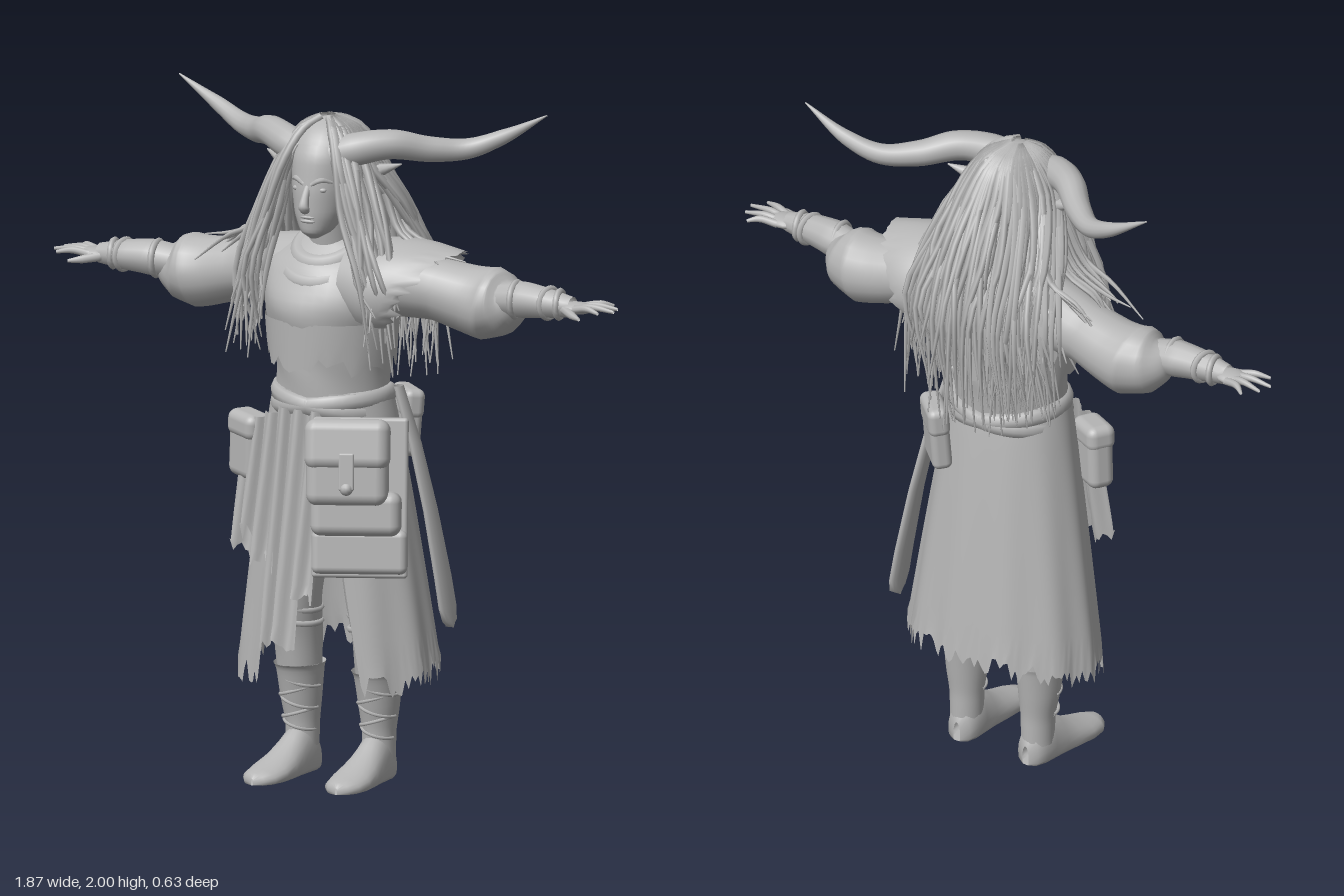
import * as THREE from 'three';
import { mergeGeometries } from 'three/addons/utils/BufferGeometryUtils.js';
import { RoundedBoxGeometry } from 'three/addons/geometries/RoundedBoxGeometry.js';

const V = (x, y, z) => new THREE.Vector3(x, y, z);
const { sin, cos, PI, max, abs } = Math;
let seed = 7;
const rnd = (a = 0, b = 1) => {
  seed = (seed * 16807) % 2147483647;
  return a + (b - a) * seed / 2147483647;
};
// linear lookup in a list of [key, v1, v2...] rows
function lerpRows(rows, k) {
  let i = 0;
  while (i < rows.length - 2 && k > rows[i + 1][0]) i++;
  const a = rows[i], b = rows[i + 1], t = (k - a[0]) / (b[0] - a[0]);
  return a.map((v, j) => v + (b[j] - v) * t);
}

// surface through rows of points; closed joins the last column to the first
function surface(rows, closed = true) {
  const n = rows[0].length, index = [];
  for (let i = 0; i < rows.length - 1; i++) {
    for (let j = 0; j < (closed ? n : n - 1); j++) {
      const a = i * n + j, b = i * n + (j + 1) % n;
      index.push(a, b, a + n, b, b + n, a + n);
    }
  }
  const g = new THREE.BufferGeometry().setFromPoints(rows.flat());
  g.setIndex(index);
  g.computeVertexNormals();
  return g;
}

// round tube with changing radius along a smooth path
function sweep(points, radii, segs = 20, sides = 12) {
  const c = new THREE.CatmullRomCurve3(points.map(p => V(...p)));
  const f = c.computeFrenetFrames(segs);
  const keys = radii.map((r, i) => [i / (radii.length - 1), r]);
  const rows = [];
  for (let i = 0; i <= segs; i++) {
    const t = i / segs, p = c.getPoint(t), r = lerpRows(keys, t)[1];
    rows.push(Array.from({ length: sides }, (_, j) => {
      const a = j / sides * 2 * PI;
      return p.clone().addScaledVector(f.normals[i], r * cos(a)).addScaledVector(f.binormals[i], r * sin(a));
    }));
  }
  return surface(rows);
}

// upright body through ellipses [y, centreX, centreZ, radiusX, radiusZ], bottom to top
function loft(sections, sides = 28, wave = 0) {
  const c = new THREE.CatmullRomCurve3(sections.map(s => V(s[0], s[1], s[2])));
  const d = new THREE.CatmullRomCurve3(sections.map(s => V(s[3], s[4], 0)));
  const n = sections.length * 4, rows = [];
  for (let i = 0; i <= n; i++) {
    const p = c.getPoint(i / n), r = d.getPoint(i / n);
    rows.push(Array.from({ length: sides }, (_, j) => {
      const a = j / sides * 2 * PI, w = 1 + wave * sin(5 * a + i * 0.8);
      return V(p.y + r.x * w * cos(a), p.x, p.z - r.y * w * sin(a));
    }));
  }
  return surface(rows);
}

export function createModel() {
  const root = new THREE.Group();
  const grey = new THREE.MeshStandardMaterial({ color: 0xb6b6b6, side: THREE.DoubleSide });
  grey.name = 'plain grey';
  const add = (name, geo, pos = [0, 0, 0], rot = [0, 0, 0], parent = root) => {
    const m = new THREE.Mesh(geo, grey);
    m.name = name;
    m.position.set(...pos);
    m.rotation.set(...rot);
    parent.add(m);
    return m;
  };

  // torso, sash, scarf and neck
  add('tunic', loft([[1.05, 0, 0.02, 0.175, 0.145], [1.2, 0, 0.015, 0.168, 0.16], [1.3, 0, 0.015, 0.178, 0.17],
    [1.42, 0, 0.03, 0.2, 0.18], [1.53, 0, 0.01, 0.2, 0.15], [1.6, 0, 0, 0.12, 0.09], [1.63, 0, 0, 0.05, 0.05]], 36, 0.012));
  add('vestHem', surface([1.38, 1.31, 1.25].map((y, i) => Array.from({ length: 48 }, (_, j) => {
    const a = j / 48 * 2 * PI;
    return V((0.202 - i * 0.006) * cos(a), y + (i === 2 ? rnd(-0.03, 0.03) : 0), 0.022 - (0.184 - i * 0.003) * sin(a));
  }))));
  add('neck', loft([[1.55, 0, 0.02, 0.065, 0.065], [1.72, 0, 0.06, 0.055, 0.055]]));
  for (let i = 0; i < 2; i++)
    add('scarfFold', new THREE.TorusGeometry(0.088 + i * 0.022, 0.03, 10, 30), [0, 1.585 - i * 0.04, 0.04 + i * 0.016], [PI / 2 + 0.5, 0, 0]);
  for (const t of [-0.16, 0.13]) {
    const sash = add('sash', new THREE.TorusGeometry(0.166, 0.018, 8, 40), [0, 1.13, 0.015], [PI / 2, t, 0]);
    sash.scale.set(1.03, 0.94, 1.5);
  }

  // head and face
  add('head', loft([[1.625, 0, 0.13, 0.012, 0.015], [1.645, 0, 0.115, 0.045, 0.055], [1.7, 0, 0.09, 0.074, 0.088],
    [1.78, 0, 0.07, 0.09, 0.108], [1.86, 0, 0.06, 0.096, 0.108], [1.93, 0, 0.05, 0.07, 0.08], [1.96, 0, 0.05, 0.01, 0.01]]));
  add('nose', sweep([[0, 1.79, 0.165], [0, 1.75, 0.187], [0, 1.722, 0.192], [0, 1.712, 0.17]], [0.009, 0.012, 0.017, 0.008]));
  for (const y of [1.681, 1.693]) add('lip', new THREE.SphereGeometry(1, 12, 8), [0, y, 0.168]).scale.set(0.026, 0.007, 0.012);
  for (const s of [1, -1]) {
    add('eyelid', new THREE.SphereGeometry(1, 12, 8), [s * 0.037, 1.775, 0.158]).scale.set(0.019, 0.009, 0.01);
    add('brow', sweep([[s * 0.012, 1.79, 0.172], [s * 0.04, 1.805, 0.163], [s * 0.066, 1.797, 0.14]], [0.006, 0.009, 0.004], 8, 6));
    add('ear', sweep([[s * 0.08, 1.78, 0.06], [s * 0.14, 1.815, 0.04], [s * 0.225, 1.845, 0.01]], [0.02, 0.028, 0.002], 10, 8));
    // horn sweeping out, back and up
    add('horn', sweep([[s * 0.05, 1.87, 0.1], [s * 0.11, 1.89, 0.085], [s * 0.2, 1.905, 0.03], [s * 0.29, 1.885, -0.05],
      [s * 0.38, 1.885, -0.115], [s * 0.48, 1.925, -0.15], [s * 0.615, 1.998, -0.16]],
    [0.05, 0.05, 0.045, 0.038, 0.031, 0.022, 0.002], 40, 14));

    // arm: puffed sleeve, bound forearm, hand
    add('sleeve', sweep([[s * 0.1, 1.5, -0.01], [s * 0.2, 1.49, -0.02], [s * 0.32, 1.475, -0.035], [s * 0.42, 1.455, -0.045],
      [s * 0.49, 1.448, -0.045], [s * 0.545, 1.455, -0.035], [s * 0.59, 1.47, -0.02]],
    [0.11, 0.105, 0.092, 0.1, 0.11, 0.092, 0.048], 36, 20));
    add('forearm', sweep([[s * 0.54, 1.47, -0.02], [s * 0.62, 1.478, -0.01], [s * 0.7, 1.478, -0.002], [s * 0.79, 1.475, 0]],
      [0.05, 0.055, 0.046, 0.03]));
    for (const [x, r, t] of [[0.6, 0.05, 0.1], [0.71, 0.043, -0.2], [0.745, 0.039, 0.2]])
      add('wristBinding', new THREE.TorusGeometry(r, 0.01, 6, 22), [s * x, 1.478, -0.004], [0, PI / 2 + t, 0]);
    add('palm', new THREE.SphereGeometry(1, 16, 12), [s * 0.805, 1.474, 0]).scale.set(0.052, 0.018, 0.041);
    for (let i = 0; i < 4; i++) {
      const z = 0.028 - i * 0.02, end = [0.905, 0.935, 0.925, 0.89][i];
      add('finger', sweep([[s * 0.81, 1.474, z], [s * 0.86, 1.483, z * 1.5 - 0.002], [s * end, 1.476, z * 2.1 - 0.004]], [0.012, 0.0105, 0.005], 10, 8));
    }
    add('thumb', sweep([[s * 0.775, 1.47, 0.02], [s * 0.82, 1.462, 0.055], [s * 0.855, 1.458, 0.078]], [0.015, 0.012, 0.005], 10, 8));

    // leg, wraps and boot
    add('trouserLeg', loft([[0.26, s * 0.13, -0.02, 0.062, 0.066], [0.4, s * 0.132, -0.01, 0.07, 0.078], [0.52, s * 0.132, 0.01, 0.078, 0.085],
      [0.7, s * 0.115, 0.01, 0.09, 0.098], [0.95, s * 0.09, 0.01, 0.09, 0.12]], 24, 0.015));
    for (const y of [0.46, 0.5]) add('kneeWrap', new THREE.TorusGeometry(0.075, 0.009, 6, 26), [s * 0.132, y, 0.005], [PI / 2, s * 0.15, 0]);
    add('bootShaft', loft([[0.06, s * 0.128, -0.028, 0.048, 0.052], [0.14, s * 0.128, -0.028, 0.05, 0.053], [0.22, s * 0.13, -0.024, 0.06, 0.066],
      [0.31, s * 0.13, -0.018, 0.068, 0.083], [0.325, s * 0.13, -0.015, 0.073, 0.09], [0.3, s * 0.13, -0.015, 0.06, 0.07]]));
    const foot = [[-0.085, 0.012, 0.06], [-0.072, 0.038, 0.1], [-0.04, 0.05, 0.135], [0.0, 0.052, 0.145], [0.05, 0.055, 0.11],
      [0.1, 0.062, 0.08], [0.16, 0.066, 0.056], [0.21, 0.057, 0.042], [0.24, 0.035, 0.035], [0.252, 0.004, 0.02]];
    const shoe = surface(foot.map(([z, w, h]) => Array.from({ length: 20 }, (_, j) => {
      const a = j / 20 * 2 * PI;
      return V(w * cos(a), max(0, h * (0.3 + 0.7 * sin(a))), z);
    })));
    add('bootFoot', shoe, [s * 0.128, 0, 0], [0, s * 0.05, 0]);
    for (let i = 0; i < 5; i++)
      add('bootLace', new THREE.TorusGeometry(0.05 + i * 0.004, 0.005, 5, 24, PI), [s * 0.13, 0.14 + i * 0.034, -0.022], [PI / 2, i % 2 ? 0.3 : -0.3, 0]).scale.y = 1.1;
  }

  // ragged cape over the left shoulder
  const cape = [];
  for (let i = 0; i <= 8; i++) {
    cape.push(Array.from({ length: 45 }, (_, j) => {
      const a = (j / 44 - 0.5) * 4.4, t = i / 8, r = 0.118 + 0.03 * sin(t * PI * 0.8);
      const rag = i === 8 ? rnd(-0.025, 0.02) : 0;
      return V(0.09 + t * (0.33 - 0.075 * abs(a)) + rag, 1.49 - 0.03 * t + r * cos(a) * 1.02, 0.02 - 0.025 * t + r * 1.2 * sin(a));
    }));
  }
  add('shoulderCape', surface(cape, false));

  // long skirt, open at the front, with a torn hem
  const skirt = [], cols = 130;
  for (let i = 0; i <= 14; i++) {
    const t = i / 14;
    skirt.push(Array.from({ length: cols + 1 }, (_, j) => {
      const open = 0.25 + 0.33 * t, a = open + (2 * PI - 2 * open) * j / cols, e = Math.pow(t, 0.85);
      const fold = 1 + 0.02 * t * sin(11 * a);
      const hem = 0.34 - 0.035 * cos(a) + (i === 14 ? rnd(-0.045, 0.03) : 0);
      return V((0.178 + 0.137 * e) * fold * sin(a), 1.17 + (hem - 1.17) * t, 0.02 - 0.035 * e + (0.15 + 0.06 * e) * fold * cos(a));
    }));
  }
  add('skirt', surface(skirt, false));

  // hanging cloth strips: [x, width, top, bottom, z top, z bottom]
  for (const [x, w, top, bot, z0, z1] of [[-0.22, 0.08, 1.0, 0.66, 0.13, 0.16], [-0.17, 0.07, 1.08, 0.72, 0.16, 0.2], [-0.12, 0.075, 1.1, 0.64, 0.17, 0.225],
    [-0.075, 0.07, 1.12, 0.42, 0.175, 0.25], [-0.025, 0.08, 1.12, 0.4, 0.18, 0.265], [0.03, 0.07, 1.12, 0.54, 0.18, 0.255]]) {
    add('clothStrip', surface(Array.from({ length: 9 }, (_, i) => Array.from({ length: 9 }, (_, j) => {
      const t = i / 8, u = j / 8 - 0.5, rag = i === 8 ? rnd(-0.01, 0.05) : 0;
      return V(x + u * w * (0.75 + 0.25 * t), top + (bot - top) * t + rag, z0 + (z1 - z0) * t + 0.012 * cos(u * 6 + t * 3));
    })), false));
  }

  // satchel over an apron panel
  const bag = new THREE.Group();
  bag.name = 'satchel';
  bag.position.set(0.165, 0, 0.19);
  bag.rotation.y = 0.45;
  root.add(bag);
  const box = (name, w, h, d, x, y, z, rx = 0, parent = bag) =>
    add(name, new RoundedBoxGeometry(w, h, d, 3, Math.min(w, h, d) * 0.35), [x, y, z], [rx, 0, 0], parent);
  box('apronPanel', 0.28, 0.47, 0.03, 0.02, 0.88, 0.01, -0.12);
  box('apronFold', 0.28, 0.13, 0.06, 0.02, 0.725, 0.04, -0.1);
  box('lowerPocket', 0.265, 0.13, 0.09, 0.01, 0.84, 0.045, -0.1);
  box('bagBody', 0.24, 0.24, 0.1, -0.015, 0.985, 0.045, -0.1);
  box('bagFlap', 0.25, 0.15, 0.1, -0.015, 1.045, 0.045, -0.2);
  box('bagStrap', 0.045, 0.11, 0.016, -0.015, 0.975, 0.102, -0.12);
  add('bagToggle', new THREE.SphereGeometry(0.02, 12, 8), [-0.015, 0.925, 0.105], [0, 0, 0], bag);

  // pouch at the right hip
  const pouch = new THREE.Group();
  pouch.name = 'hipPouch';
  pouch.position.set(-0.235, 0, 0.1);
  pouch.rotation.set(0, -0.5, -0.06);
  root.add(pouch);
  box('pouchBody', 0.13, 0.18, 0.08, -0.04, 0.975, 0.01, 0, pouch);
  box('pouchFlap', 0.135, 0.08, 0.09, -0.04, 1.045, 0.012, 0, pouch);

  // pouch and long sheath behind the left hip
  const back = new THREE.Group();
  back.name = 'backPouch';
  back.position.set(0.15, 0, -0.14);
  back.rotation.y = 2.4;
  root.add(back);
  box('backPouchBody', 0.14, 0.19, 0.06, 0, 1.045, 0.005, 0.08, back);
  box('backPouchFlap', 0.15, 0.09, 0.065, 0, 1.105, 0.01, 0.08, back);
  add('sheath', surface([[1.17, 0.18, -0.05, 0.02], [1.0, 0.225, -0.07, 0.028], [0.8, 0.265, -0.09, 0.036], [0.6, 0.295, -0.11, 0.046],
    [0.51, 0.305, -0.12, 0.048], [0.47, 0.31, -0.123, 0.036], [0.45, 0.31, -0.125, 0.003]].reverse().map(([y, x, z, w]) =>
    Array.from({ length: 14 }, (_, j) => V(x + 0.014 * cos(j / 7 * PI), y, z - w * sin(j / 7 * PI))))));

  // hair: path from crown to tip for an azimuth (0 is the front) and a layer scale;
  // it parts at the shoulder, falling to the chest or down the back
  const hairPath = (a, k, tip) => {
    const d = a > PI ? a - 2 * PI : a, m = abs(d);
    const e = Math.sign(d) * (m < 1.35 ? 0.68 + (m - 0.62) * 0.5 : 1.95 + (m - 1.35) * 0.665), h = (d + e) / 2;
    const s = sin(d), c = cos(d);
    return [[0.02 * s, 1.972, 0.05 + 0.02 * c], [0.082 * s, 1.94, 0.035 + 0.095 * c], [0.135 * s * k, 1.85, 0.03 + 0.145 * c * k],
      [0.2 * sin(h) * k, 1.7, 0.005 + 0.195 * cos(h) * k], [0.275 * sin(e) * k, 1.52, -0.01 + 0.24 * cos(e) * k],
      [0.295 * sin(e) * k, tip, -0.01 + 0.235 * cos(e) * k]];
  };
  for (const [from, to] of [[1.4, 2 * PI - 1.4], [0.72, 1.32], [2 * PI - 1.32, 2 * PI - 0.72]]) {
    add('hairMass', surface(Array.from({ length: 41 }, (_, j) => {
      const path = hairPath(from + (to - from) * j / 40, 0.92, 1.42 + rnd(-0.06, 0.06));
      return new THREE.CatmullRomCurve3(path.map(p => V(...p))).getPoints(20);
    }), false));
  }
  add('hairCrown', new THREE.SphereGeometry(1, 28, 12, 0, 2 * PI, 0, 1.35), [0, 1.84, 0.04], [-0.3, 0, 0]).scale.set(0.115, 0.132, 0.128);
  const locks = [];
  for (let i = 0; i < 250; i++) {
    const a = 0.62 + (2 * PI - 1.24) * rnd(), k = rnd(0.86, 1.1);
    const path = hairPath(a, k, 1.32 + 0.06 * cos(a) + rnd(-0.12, 0.14));
    for (let j = 3; j < 6; j++) path[j] = path[j].map((v, n) => v + (n === 1 ? 0 : rnd(-1, 1) * 0.009 * (j - 1)));
    locks.push(sweep(path, [0.01, 0.014, 0.013, 0.011, 0.009, 0.002], 16, 5));
  }
  // stray locks over the shoulders
  for (let i = 0; i < 14; i++) {
    const s = i < 11 ? -1 : 1, z = rnd(-0.1, 0.12);
    locks.push(sweep([[s * 0.11, 1.9, 0.05], [s * 0.17, 1.75, z * 0.8], [s * 0.22, 1.64, z], [s * rnd(0.28, 0.33), 1.59, z], [s * rnd(0.34, 0.43), rnd(1.5, 1.575), z]],
      [0.012, 0.012, 0.01, 0.007, 0.002], 14, 5));
  }
  add('hairLocks', mergeGeometries(locks));
  return root;
}
